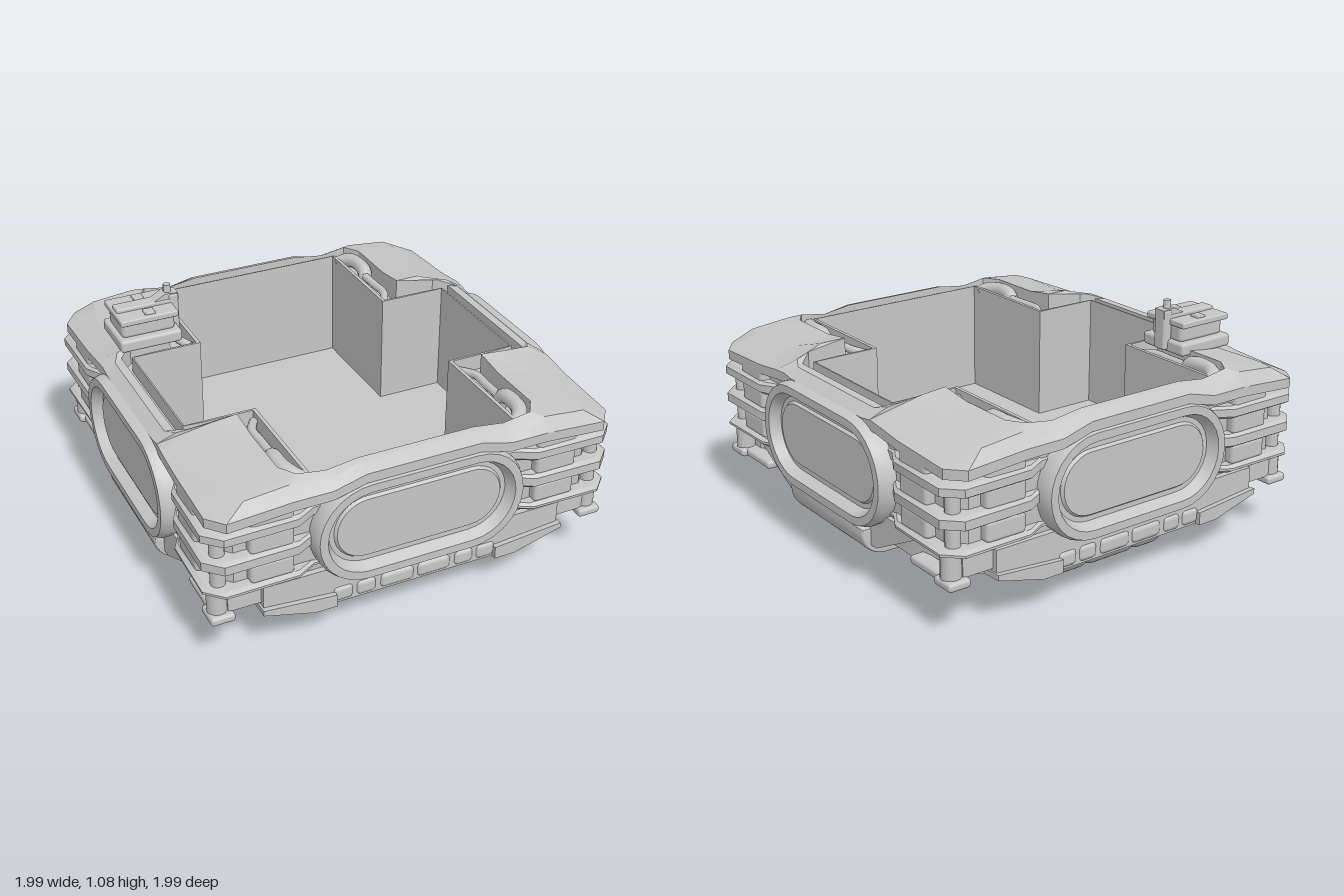
import * as THREE from 'three';
import { toCreasedNormals } from 'three/addons/utils/BufferGeometryUtils.js';
import { RoundedBoxGeometry } from 'three/addons/geometries/RoundedBoxGeometry.js';

const V = (x, y, z) => new THREE.Vector3(x, y, z);

// Skin closed loops of points, with optional fan caps at either end
function loft(rows, capStart, capEnd, crease = 0.5) {
  const n = rows[0].length, pos = [];
  const tri = (...p) => p.forEach((v) => pos.push(v.x, v.y, v.z));
  for (let r = 0; r < rows.length - 1; r++) {
    for (let i = 0; i < n; i++) {
      const j = (i + 1) % n, a = rows[r], b = rows[r + 1];
      tri(a[i], a[j], b[j]);
      tri(a[i], b[j], b[i]);
    }
  }
  const cap = (row, flip) => {
    const c = row.reduce((s, v) => s.add(v), V(0, 0, 0)).divideScalar(n);
    for (let i = 0; i < n; i++) {
      const j = (i + 1) % n;
      if (flip) tri(c, row[j], row[i]); else tri(c, row[i], row[j]);
    }
  };
  if (capStart) cap(rows[0], true);
  if (capEnd) cap(rows[rows.length - 1], false);
  const g = new THREE.BufferGeometry();
  g.setAttribute('position', new THREE.Float32BufferAttribute(pos, 3));
  return toCreasedNormals(g, crease);
}

// Mirror one quarter outline [x, z, y] (front to side) into a full loop
function ring(quarter, y) {
  const out = [];
  [[1, 1], [1, -1], [-1, -1], [-1, 1]].forEach(([sx, sz], k) => {
    const q = k % 2 ? [...quarter].reverse() : quarter;
    q.forEach((p) => out.push(V(p[0] * sx, y ?? p[2], p[1] * sz)));
  });
  return out;
}

// Stadium loop facing +z, centred at the port height
function stadium(r, z) {
  const pts = [];
  for (const side of [1, -1]) {
    for (let i = 0; i <= 14; i++) {
      const a = (i / 14 - 0.5) * Math.PI + (side < 0 ? Math.PI : 0);
      pts.push(V(side * 0.25 + r * Math.cos(a), 0.54 + r * Math.sin(a), z));
    }
  }
  return pts;
}

// Tank along x whose lower ends curve up, rounded along its long edges
function trough(half, bottom, top, r, width, bevel) {
  const h = half - bevel, b = bottom + bevel, t = top - bevel;
  const s = new THREE.Shape();
  s.moveTo(-h, t);
  s.lineTo(-h, b + r);
  s.absarc(-h + r, b + r, r, Math.PI, Math.PI * 1.5, false);
  s.absarc(h - r, b + r, r, Math.PI * 1.5, Math.PI * 2, false);
  s.lineTo(h, t);
  const g = new THREE.ExtrudeGeometry(s, { depth: width - 2 * bevel, bevelSize: bevel,
    bevelThickness: bevel, bevelSegments: 3, curveSegments: 8 });
  g.translate(0, 0, bevel - width / 2);
  return toCreasedNormals(g, 0.5);
}

export function createModel() {
  const root = new THREE.Group();
  const grey = new THREE.MeshStandardMaterial({ color: 0xc6c6c6 });
  grey.name = 'hull grey';

  const add = (name, geo, x = 0, y = 0, z = 0, parent = root) => {
    const m = new THREE.Mesh(geo, grey);
    m.name = name;
    m.position.set(x, y, z);
    parent.add(m);
    return m;
  };
  const box = (name, w, h, d, x, y, z) => add(name, new THREE.BoxGeometry(w, h, d), x, y, z);
  const soft = (name, w, h, d, r, x, y, z) => add(name, new RoundedBoxGeometry(w, h, d, 3, r), x, y, z);
  const corners = (fn) => { for (const sx of [1, -1]) for (const sz of [1, -1]) fn(sx, sz); };
  const plate = (pts, depth) => new THREE.ExtrudeGeometry(
    new THREE.Shape(pts.map((p) => new THREE.Vector2(...p))), { depth, bevelEnabled: false });

  // Roof shell, gutter and cross-shaped pit walls as one skin
  const rim = [[0.27, 0.985, 0.83], [0.42, 0.985, 0.79], [0.6, 0.985, 0.79], [0.89, 0.985, 0.77], [0.955, 0.9, 0.765],
    [0.955, 0.58, 0.78], [0.955, 0.42, 0.8], [0.95, 0.36, 0.8], [0.95, 0.3, 0.79], [0.95, 0.2, 0.79]];
  const ridge = [[0.27, 0.93, 0.86], [0.42, 0.94, 0.825], [0.6, 0.945, 0.85], [0.8, 0.945, 0.83], [0.82, 0.86, 0.83],
    [0.78, 0.57, 0.84], [0.72, 0.42, 0.88], [0.87, 0.38, 0.845], [0.9, 0.32, 0.83], [0.9, 0.2, 0.83]];
  const inner = [[0.27, 0.905, 0.865], [0.42, 0.905, 0.845], [0.55, 0.905, 0.865], [0.6, 0.83, 0.865], [0.6, 0.72, 0.865],
    [0.6, 0.56, 0.865], [0.6, 0.41, 0.885], [0.8, 0.4, 0.86], [0.86, 0.35, 0.83], [0.86, 0.2, 0.83]];
  const pit = [[0.24, 0.89], [0.4, 0.89], [0.48, 0.89], [0.48, 0.84], [0.48, 0.72],
    [0.48, 0.56], [0.48, 0.325], [0.7, 0.325], [0.81, 0.325], [0.81, 0.2]];
  const collar = pit.map((p, i) => [p[0] * 0.86 + inner[i][0] * 0.14, p[1] * 0.86 + inner[i][1] * 0.14]);
  add('roofAndPit', loft([
    ring(rim.map((p) => [p[0] * 0.93, p[1] * 0.93, p[2] - 0.06])),
    ring(rim.map((p) => [p[0], p[1], p[2] - 0.045])), ring(rim), ring(ridge), ring(inner),
    ring(inner, 0.76), ring(collar, 0.76), ring(collar, 0.835), ring(pit, 0.835), ring(pit, 0.28)], false, false, 0.35));
  box('pitFloorLong', 0.96, 0.03, 1.78, 0, 0.275, 0);
  box('pitFloorCross', 1.62, 0.03, 0.65, 0, 0.2745, 0);

  // Outer wall and belly
  const core = [[0.5, 0.91], [0.58, 0.91], [0.84, 0.91], [0.91, 0.84], [0.91, 0.58], [0.91, 0.5]];
  const belly = [[0.45, 0.9], [0.55, 0.9], [0.74, 0.86], [0.83, 0.8], [0.88, 0.57], [0.88, 0.45]];
  add('wall', loft([ring(belly.map((p) => [p[0] * 0.85, p[1] * 0.9]), 0.17), ring(belly, 0.23),
    ring(belly, 0.32), ring(core, 0.37), ring(core, 0.78)], true, false));

  // Chamfered shelves wrapping the corners
  const shelf = [[0.48, 0.92], [0.57, 0.97], [0.9, 0.975], [0.975, 0.9], [0.97, 0.57], [0.92, 0.48]];
  const shrink = shelf.map((p) => [p[0] * 0.98, p[1] * 0.98]);
  for (const [lo, hi] of [[0.38, 0.415], [0.5, 0.565], [0.64, 0.7]]) {
    add('shelf', loft([ring(core, lo), ring(shrink, lo), ring(shelf, lo + 0.012),
      ring(shelf, hi - 0.012), ring(shrink, hi), ring(core, hi)], false, false));
  }

  // Blocks and posts between shelves, corner feet, gutter pipes
  corners((sx, sz) => {
    for (const y of [0.458, 0.603, 0.725]) {
      soft('frontBlock', 0.2, 0.1, 0.08, 0.02, sx * 0.68, y, sz * 0.915);
      soft('sideBlock', 0.08, 0.1, 0.2, 0.02, sx * 0.915, y, sz * 0.68);
    }
    const post = new THREE.CylinderGeometry(0.033, 0.033, 0.28, 14);
    add('cornerPost', post, sx * 0.9, 0.54, sz * 0.885);
    add('cornerFoot', new THREE.CylinderGeometry(0.045, 0.045, 0.14, 14), sx * 0.905, 0.315, sz * 0.875);
    soft('cornerPad', 0.11, 0.04, 0.12, 0.015, sx * 0.9, 0.255, sz * 0.88);
    soft('sideRail', 0.08, 0.04, 0.26, 0.015, sx * 0.89, 0.255, sz * 0.74);
    box('footBrace', 0.15, 0.09, 0.12, sx * 0.795, 0.315, sz * 0.85);
    const pipe = (name, r, pts) => add(name, new THREE.TubeGeometry(new THREE.CatmullRomCurve3(
      pts.map((p) => V(p[0] * sx, p[2], p[1] * sz))), 20, r, 10, false));
    pipe('gutterPipeThick', 0.035, [[0.5, 0.87, 0.8], [0.535, 0.85, 0.82], [0.56, 0.79, 0.83], [0.56, 0.68, 0.82], [0.55, 0.66, 0.76]]);
    pipe('gutterPipeThin', 0.02, [[0.55, 0.7, 0.81], [0.55, 0.55, 0.81], [0.55, 0.45, 0.81], [0.51, 0.37, 0.8]]);
  });

  // Rounded ports on the four sides
  const port = loft([[0.25, 0.9], [0.25, 0.965], [0.238, 0.995], [0.2, 0.995], [0.175, 0.945],
    [0.152, 0.945], [0.142, 0.958]].map(([r, z]) => stadium(r, z)), false, true);
  for (let k = 0; k < 4; k++) add('port', port).rotation.y = k * Math.PI / 2;

  // Aprons under the ports
  for (const s of [1, -1]) {
    add('frontApron', plate([[-0.45, 0.17], [0.45, 0.17], [0.72, 0.25], [0.72, 0.36], [-0.72, 0.36], [-0.72, 0.25]], 0.04),
      0, 0, s > 0 ? 0.895 : -0.935);
    for (const x of [-0.35, -0.24, -0.09, 0.09, 0.24, 0.35]) {
      soft('apronBump', Math.abs(x) < 0.2 ? 0.17 : 0.1, 0.08, 0.08, 0.025, x, 0.215, s * 0.905);
    }
    const side = add('sideApron', plate([[-0.35, 0.2], [0.35, 0.2], [0.7, 0.38], [-0.7, 0.38]], 0.1));
    side.rotation.y = s * Math.PI / 2;
    side.position.x = s * 0.83;
  }

  // Long bent skid plates, tilted up outwards: [z, outer bottom, inner bottom]
  const half = [[0.96, 0.235, 0.17], [0.85, 0.23, 0.165], [0.62, 0.125, 0.075], [0.37, 0.115, 0.06], [0.3, 0.1, 0.035]];
  const run = [...half.map(([z, a, b]) => [-z, a, b]), ...[...half].reverse()];
  const skid = loft(run.map(([z, o, i]) => [V(0.39, i, z), V(0.49, i, z), V(0.73, o, z),
    V(0.73, o + 0.025, z), V(0.39, i + 0.06, z)]), true, true);
  add('skid', skid);
  add('skid', skid).rotation.y = Math.PI;

  // Underside tanks and keel
  add('crossTank', trough(0.975, 0.145, 0.285, 0.11, 0.62, 0.012));
  const lengthwise = (name, geo, x) => { add(name, geo, x).rotation.y = Math.PI / 2; };
  lengthwise('tankBed', trough(0.78, 0.08, 0.24, 0.1, 0.74, 0.03), 0);
  for (const [x, w] of [[-0.21, 0.14], [0, 0.25], [0.21, 0.14]]) {
    lengthwise('keelTank', trough(0.86, 0.045, 0.22, 0.1, w, 0.03), x);
  }
  for (const z of [-0.62, 0.62]) soft('tankStrap', 0.62, 0.1, 0.07, 0.02, 0, 0.1, z);
  add('keelPlate', plate([[-0.28, 0], [0.28, 0], [0.34, 0.04], [0.38, 0.12], [-0.38, 0.12], [-0.34, 0.04]], 0.66), 0, 0, -0.33);

  // Winch on the rear right corner
  const winch = new THREE.Group();
  winch.name = 'winch';
  winch.position.set(-0.7, 0, -0.5);
  root.add(winch);
  const part = (name, w, h, d, x, y, z) => add(name, new RoundedBoxGeometry(w, h, d, 2, Math.min(w, h, d) * 0.25), x, y, z, winch);
  part('winchBase', 0.3, 0.06, 0.27, 0, 0.87, 0);
  part('winchBody', 0.26, 0.09, 0.2, 0, 0.935, 0);
  part('winchTop', 0.28, 0.03, 0.25, 0, 0.983, 0);
  part('winchBar', 0.28, 0.03, 0.07, 0.01, 1.0, 0);
  part('winchPost', 0.05, 0.19, 0.07, 0.15, 0.945, 0);
  add('winchArm', plate([[0.03, 1.0], [0.175, 1.0], [0.175, 1.04], [0.11, 1.045]], 0.06), 0, 0, -0.03, winch);
  add('winchKnob', new THREE.CylinderGeometry(0.017, 0.02, 0.05, 12), 0.13, 1.055, 0, winch);
  for (const z of [-0.08, 0.08]) part('winchClip', 0.05, 0.02, 0.05, 0.01, 0.998, z);
  return root;
}
